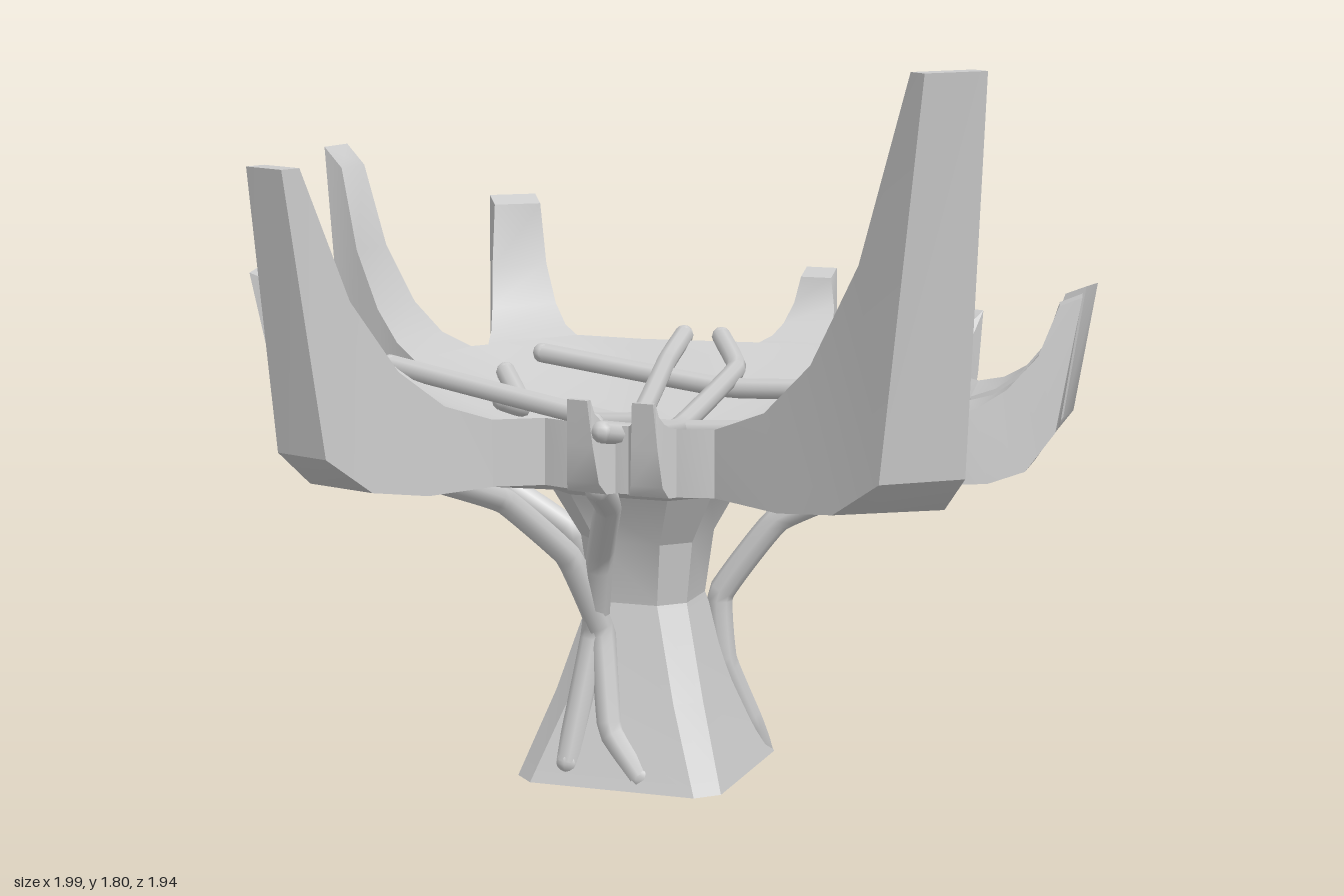
import * as THREE from 'three';
import { mergeGeometries, toCreasedNormals } from 'three/addons/utils/BufferGeometryUtils.js';

const V = (x, y, z) => new THREE.Vector3(x, y, z);
const mat = new THREE.MeshStandardMaterial({ color: 0xcccccc });
const CX = -0.09, CZ = -0.18; // stem axis

// Closed solid through equal-sized loops, fan-capped at both ends and facing outward
function loft(loops, crease = 0.6) {
  const tris = [];
  const n = loops[0].length;
  const mid = (l) => l.reduce((a, p) => a.add(p), V(0, 0, 0)).divideScalar(n);
  const first = loops[0], last = loops[loops.length - 1];
  const m0 = mid(first), m1 = mid(last);
  for (let i = 0; i < n; i++) {
    const j = (i + 1) % n;
    for (let k = 0; k < loops.length - 1; k++) {
      const a = loops[k], b = loops[k + 1];
      tris.push([a[i], a[j], b[j]], [a[i], b[j], b[i]]);
    }
    tris.push([m0, first[j], first[i]], [m1, last[i], last[j]]);
  }
  let volume = 0;
  for (const [a, b, c] of tris) volume += a.dot(b.clone().cross(c));
  const pts = tris.flatMap(([a, b, c]) => (volume < 0 ? [a, c, b] : [a, b, c]));
  return toCreasedNormals(new THREE.BufferGeometry().setFromPoints(pts), crease);
}

// Square loop with cut corners for the stem
function stemLoop(y, h, c) {
  return [[h, h - c], [h - c, h], [c - h, h], [-h, h - c], [-h, c - h], [c - h, -h], [h - c, -h], [h, c - h]]
    .map(([x, z]) => V(CX + x, y, CZ + z));
}

// Plan of the bowl rim; prongs grow from pairs of neighbouring corners
const rim = [
  [0, -0.76], [0.2, -0.78], [0.3, -0.77], [0.57, -0.54], [0.58, -0.45],
  [0.67, -0.36], [0.71, -0.13], [0.72, -0.08], [0.73, 0.17], [0.65, 0.32],
  [0.3, 0.48], [0.22, 0.5], [0.11, 0.5], [0.08, 0.5], [-0.04, 0.48],
  [-0.1, 0.46], [-0.2, 0.52], [-0.47, 0.45], [-0.5, 0.25], [-0.6, 0.14],
  [-0.71, -0.04], [-0.7, -0.12], [-0.7, -0.2], [-0.66, -0.46], [-0.63, -0.5],
  [-0.48, -0.73], [-0.3, -0.72],
];
const rimLoop = (s, y) => rim.map(([x, z]) => V(CX + (x - CX) * s, y, CZ + (z - CZ) * s));

// Prongs: first rim corner, tip x, z, height, tip width, drop of the tip's inner edge
const prongs = [
  [9, 0.9, 0.775, 1.8, 0.15, 0],
  [16, -0.53, 0.95, 1.58, 0.11, 0],
  [19, -0.965, 0.13, 1.25, 0.1, 0.02],
  [22, -0.985, -0.38, 1.5, 0.1, 0.05],
  [24, -0.67, -0.77, 1.35, 0.12, 0.02],
  [0, 0.1, -0.97, 1.17, 0.08, 0.02],
  [2, 0.5, -0.79, 1.11, 0.18, 0.02],
  [5, 0.97, -0.2, 1.26, 0.07, 0.02],
  [7, 0.99, -0.01, 1.26, 0.07, 0.02],
  [11, 0.16, 0.55, 1.06, 0.05, 0],
  [13, 0.01, 0.55, 1.06, 0.05, 0],
];

// A prong continues the rim outward, then bends and tapers upward
function prong([corner, x1, z1, H, tipWidth, drop]) {
  const [ax, az] = rim[corner], [bx, bz] = rim[corner + 1];
  const x0 = (ax + bx) / 2, z0 = (az + bz) / 2;
  const len = Math.hypot(x1 - x0, z1 - z0), h = H - 1;
  const tx = (z1 - z0) / len * tipWidth / 2, tz = -(x1 - x0) / len * tipWidth / 2;
  const t = Math.min(0.05 / len, 0.25);
  const inner = [[0, 1], [0.22, 1 + 0.07 * h], [0.44, 1 + 0.22 * h], [0.67, 1 + 0.5 * h], [1 - t, H - drop]];
  const outer = [[0, 0.85], [0.32, 0.85], [0.6, 0.875], [0.82, 0.96], [1, H]];
  const taper = [0, 0.33, 0.58, 0.8, 1];
  return loft(taper.map((k, i) => {
    const wx = THREE.MathUtils.lerp((ax - bx) / 2, tx, k);
    const wz = THREE.MathUtils.lerp((az - bz) / 2, tz, k);
    const at = ([f, y], s) => V(x0 + (x1 - x0) * f + wx * s, y, z0 + (z1 - z0) * f + wz * s);
    return [at(inner[i], 1), at(inner[i], -1), at(outer[i], -1), at(outer[i], 1)];
  }));
}

// Round-ended vine along bent points
function vine(points, r) {
  const curve = new THREE.CatmullRomCurve3(points, false, 'catmullrom', 0.15);
  const parts = [new THREE.TubeGeometry(curve, points.length * 6, r, 8)];
  for (const p of [points[0], points[points.length - 1]]) {
    parts.push(new THREE.SphereGeometry(r, 8, 6).translate(p.x, p.y, p.z));
  }
  return mergeGeometries(parts);
}

// Vines lying in the bowl, as x, y, z
const bowlVines = [
  [[-0.2, 1.01, -0.76], [-0.18, 0.97, -0.57], [-0.05, 0.92, 0], [0.03, 1, 0.5]],
  [[-0.1, 1.01, -0.76], [0, 0.96, -0.58], [0.05, 0.91, 0], [0.1, 0.97, 0.43], [0.06, 0.99, 0.53]],
  [[-0.73, 1, -0.12], [-0.05, 0.9, -0.02], [0.38, 0.93, 0.04], [0.7, 1.01, 0.22]],
  [[-0.5, 0.98, -0.54], [0, 0.925, -0.5], [0.35, 0.945, -0.48], [0.55, 1, -0.53]],
  [[0.13, 0.845, -0.18], [0.52, 0.95, -0.27]],
  [[-0.53, 0.955, -0.37], [-0.42, 0.9, -0.21], [-0.46, 0.92, -0.17]],
  [[-0.47, 0.985, 0.43], [-0.3, 0.93, 0.3], [-0.21, 0.9, 0.29]],
  [[0.02, 0.84, -0.21], [0.05, 0.86, -0.1], [0.11, 0.88, 0.01]],
];

// Vines climbing the stem and spreading under the bowl, as x, y, z
const stemVines = [
  [[-0.38, 0.84, 0.42], [-0.3, 0.76, 0.22], [-0.2, 0.6, 0.06], [-0.15, 0.4, -0.03], [-0.11, 0.18, 0.02], [-0.03, 0.08, 0.04]],
  [[0, 0.84, 0.4], [-0.05, 0.76, 0.2], [-0.13, 0.6, 0.04], [-0.17, 0.4, -0.03], [-0.21, 0.1, 0.04]],
  [[0.67, 0.88, -0.36], [0.5, 0.79, -0.34], [0.2, 0.65, -0.3], [0.06, 0.46, -0.28], [0.07, 0.3, -0.28], [0.12, 0.14, -0.33], [0.13, 0.045, -0.38], [0, 0.035, -0.38]],
  [[-0.67, 0.84, -0.05], [-0.45, 0.74, -0.1], [-0.27, 0.62, -0.14], [-0.21, 0.45, -0.2], [-0.28, 0.22, -0.25]],
  [[-0.28, 0.84, -0.7], [-0.22, 0.72, -0.45], [-0.17, 0.58, -0.35], [-0.15, 0.45, -0.34], [-0.15, 0.34, -0.36]],
  [[0.04, 0.1, -0.42], [0.01, 0.3, -0.36], [-0.08, 0.37, -0.34], [-0.19, 0.28, -0.37], [-0.26, 0.1, -0.41]],
];

export function createModel() {
  const group = new THREE.Group();
  const add = (name, geometry) => {
    const mesh = new THREE.Mesh(geometry, mat);
    mesh.name = name;
    group.add(mesh);
  };

  // Waisted stem flaring into the bowl
  add('stem', loft([
    stemLoop(0.05, 0.255, 0.05), stemLoop(0.25, 0.185, 0.055), stemLoop(0.47, 0.122, 0.055),
    stemLoop(0.62, 0.14, 0.06), stemLoop(0.74, 0.2, 0.08), stemLoop(0.785, 0.3, 0.12),
  ], 0.35));

  // Dished bowl: underside, upright rim wall and smooth inside
  add('bowl', loft([
    rimLoop(0.25, 0.75), rimLoop(0.6, 0.795), rimLoop(1, 0.85), rimLoop(1, 1),
    rimLoop(0.92, 0.97), rimLoop(0.75, 0.92), rimLoop(0.45, 0.855), rimLoop(0.15, 0.815),
  ]));

  prongs.forEach((p) => add('prong', prong(p)));
  bowlVines.forEach((v) => add('bowlVine', vine(v.map((p) => V(...p)), 0.025)));
  stemVines.forEach((v) => add('stemVine', vine(v.map((p) => V(...p)), 0.032)));
  return group;
}
